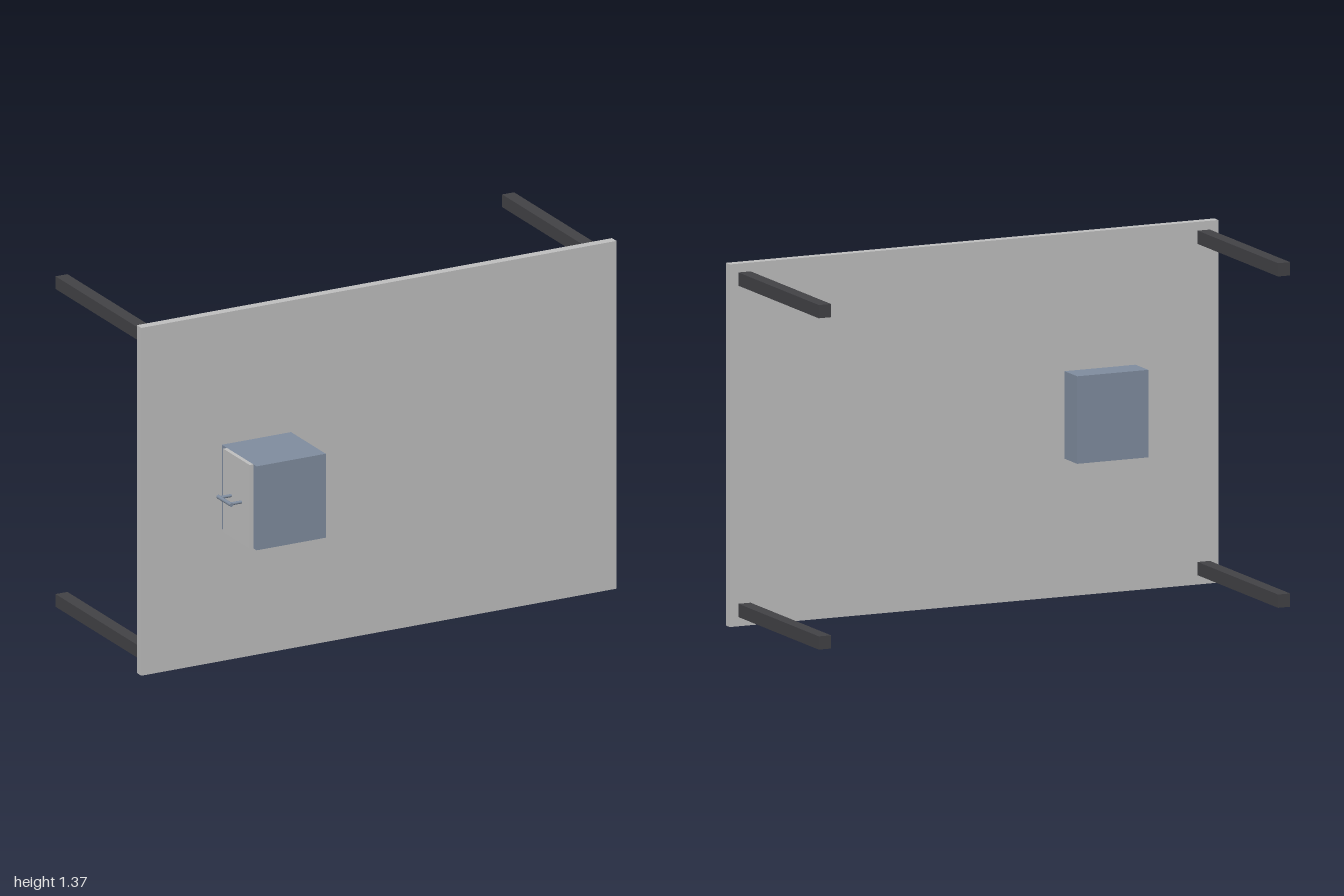
import * as THREE from 'three';

const material = (name, color) => {
  const m = new THREE.MeshStandardMaterial({ color });
  m.name = name;
  return m;
};

export function createModel() {
  const group = new THREE.Group();
  const grey = material('light grey top', 0xbfbfbf);
  const dark = material('dark legs', 0x424246);
  const blue = material('steel blue cabinet', 0x808d9f);

  // Box given by its minimum and maximum corners
  const box = (name, mat, min, max, parent = group) => {
    const size = max.map((v, i) => v - min[i]);
    const mesh = new THREE.Mesh(new THREE.BoxGeometry(...size), mat);
    mesh.position.set(...max.map((v, i) => (v + min[i]) / 2));
    mesh.name = name;
    parent.add(mesh);
    return mesh;
  };

  // Table top, standing on its long edge
  box('tableTop', grey, [-1, 0, 0.195], [1, 1.367, 0.23]);

  // Four square legs pointing backwards
  for (const x of [-0.94, 0.94]) {
    for (const y of [0.06, 1.309]) {
      box('leg', dark, [x - 0.025, y - 0.025, -0.5], [x + 0.025, y + 0.025, 0.195]);
    }
  }

  // Cabinet passing through the top, with a drawer front on its side
  box('cabinet', blue, [-0.661, 0.52, 0.085], [-0.37, 0.85, 0.5]);
  box('drawerFront', grey, [-0.677, 0.52, 0.27], [-0.661, 0.85, 0.475]);

  // Bar handle on two round posts
  const handle = new THREE.Group();
  handle.name = 'drawerHandle';
  handle.position.set(0, 0.685, 0.371);
  group.add(handle);
  const rod = (name, radius, length) => {
    const mesh = new THREE.Mesh(new THREE.CylinderGeometry(radius, radius, length, 16), blue);
    mesh.name = name;
    handle.add(mesh);
    return mesh;
  };
  const bar = rod('handleBar', 0.0075, 0.105);
  bar.rotation.x = Math.PI / 2;
  bar.position.x = -0.725;
  for (const z of [-0.04, 0.04]) {
    const post = rod('handlePost', 0.006, 0.048);
    post.rotation.z = Math.PI / 2;
    post.position.set(-0.701, 0, z);
  }
  return group;
}
